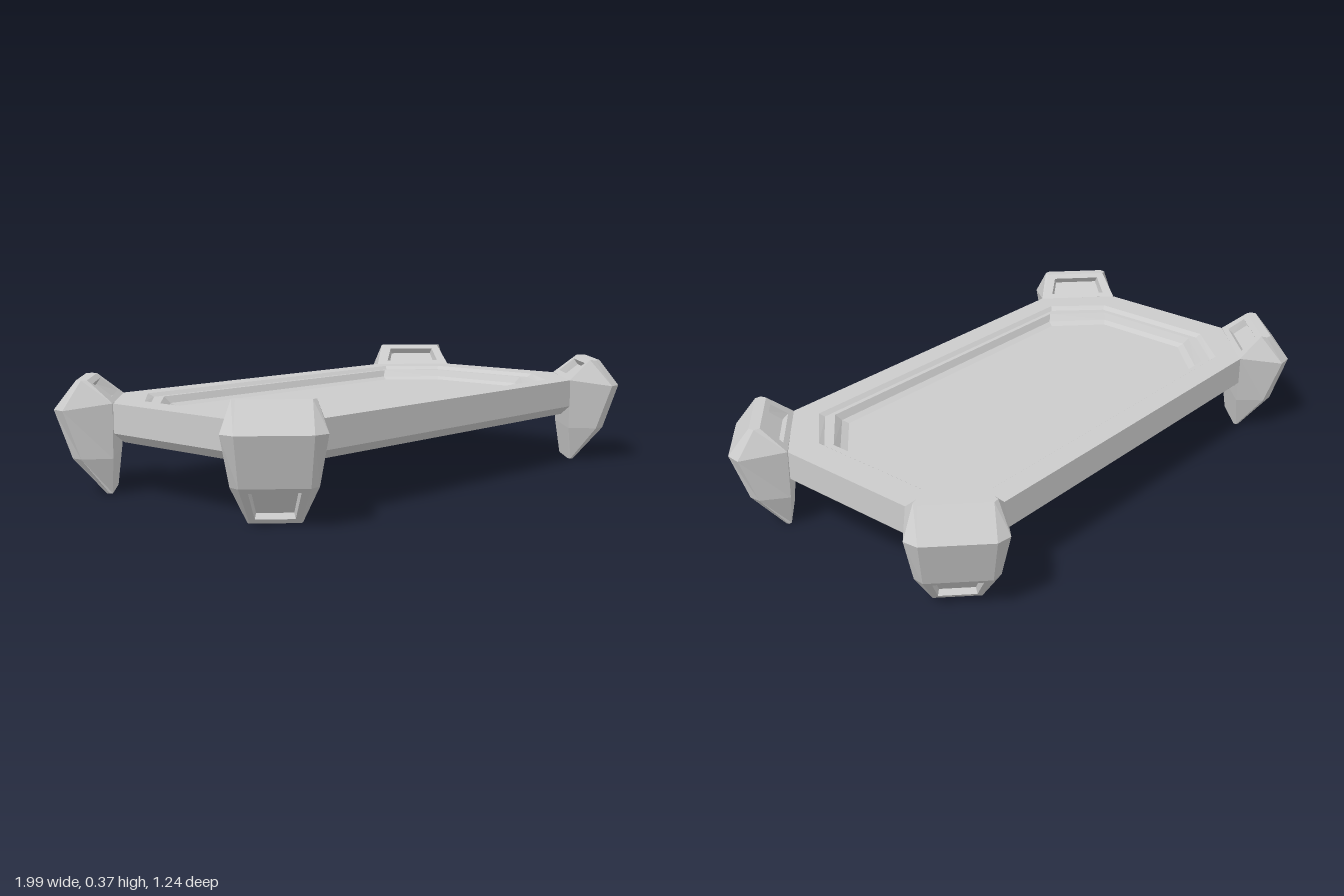
import * as THREE from 'three';

const material = new THREE.MeshStandardMaterial({ color: 0xcccccc, flatShading: true });

// Collects flat polygons (corner lists, counter-clockwise from outside) into one mesh
function facetedMesh(name, faces) {
  const positions = [];
  for (const f of faces)
    for (let i = 1; i < f.length - 1; i++)
      for (const p of [f[0], f[i], f[i + 1]]) positions.push(p.x, p.y, p.z);
  const geometry = new THREE.BufferGeometry();
  geometry.setAttribute('position', new THREE.Float32BufferAttribute(positions, 3));
  geometry.computeVertexNormals();
  const mesh = new THREE.Mesh(geometry, material);
  mesh.name = name;
  return mesh;
}

// Joins stacked rings of equal size and caps both ends; edit may replace a side face
function loft(rings, edit = (face) => [face]) {
  const faces = [rings[0].slice(), rings.at(-1).slice().reverse()];
  for (let r = 0; r < rings.length - 1; r++) {
    const a = rings[r], b = rings[r + 1];
    a.forEach((p, i) => {
      const j = (i + 1) % a.length;
      faces.push(...edit([p, b[i], b[j], a[j]], r, i));
    });
  }
  return faces;
}

// Turns a four-sided face into a frame around a sunken panel
function sunkenPanel(quad, marginU, marginV, depth) {
  const [a, b, c, d] = quad;
  const at = (u, v) => a.clone().lerp(d, u).lerp(b.clone().lerp(c, u), v);
  const inset = (mu, mv) => [at(mu, mv), at(mu, 1 - mv), at(1 - mu, 1 - mv), at(1 - mu, mv)];
  const normal = c.clone().sub(a).cross(d.clone().sub(b)).normalize();
  const opening = inset(marginU, marginV);
  const floor = inset(marginU + 0.03, marginV + 0.03).map((p) => p.addScaledVector(normal, -depth));
  const faces = [floor];
  for (let i = 0; i < 4; i++) {
    const j = (i + 1) % 4;
    faces.push([quad[i], quad[j], opening[j], opening[i]], [opening[i], opening[j], floor[j], floor[i]]);
  }
  return faces;
}

// Rectangle with cut corners: half sizes hx, hz and straight half lengths cx, cz
const octagon = (y, hx, hz, cx, cz) =>
  [[hx, -cz], [hx, cz], [cx, hz], [-cx, hz], [-hx, cz], [-hx, -cz], [-cx, -hz], [cx, -hz]]
    .map(([x, z]) => new THREE.Vector3(x, y, z));

// Six-sided leg section, outward along +x: [distance, half width] of inner, side and outer corners
function legSection(y, inner, side, outer, innerY = y) {
  const point = ([x, w], sign, h = y) => new THREE.Vector3(x, h, sign * w);
  return [point(outer, -1), point(outer, 1), point(side, 1),
    point(inner, 1, innerY), point(inner, -1, innerY), point(side, -1)];
}

export function createModel() {
  const model = new THREE.Group();
  model.name = 'tray';

  // Tray body: bevelled underside, flat rim, stepped recess
  model.add(facetedMesh('trayBody', loft([
    octagon(0.175, 0.825, 0.43, 0.645, 0.245),
    octagon(0.205, 0.857, 0.461, 0.655, 0.255),
    octagon(0.30, 0.857, 0.461, 0.655, 0.255),
    octagon(0.30, 0.755, 0.382, 0.614, 0.225),
    octagon(0.288, 0.74, 0.368, 0.6, 0.218),
    octagon(0.288, 0.718, 0.352, 0.57, 0.198),
    octagon(0.265, 0.705, 0.34, 0.552, 0.184),
    octagon(0.255, 0.685, 0.32, 0.54, 0.172),
  ])));

  // Corner legs: a window in the slanted foot and a pocket in the slope facing the tray
  const sections = [
    legSection(0, [0.016, 0.072], [0.024, 0.08], [0.034, 0.074]),
    legSection(0.12, [0.006, 0.115], [0.105, 0.127], [0.135, 0.102]),
    legSection(0.278, [0, 0.144], [0.155, 0.152], [0.188, 0.112], 0.30),
    legSection(0.37, [0.082, 0.11], [0.1, 0.12], [0.117, 0.108]),
  ];
  const legFaces = loft(sections, (face, ring, side) => {
    if (ring === 0 && side === 0) return sunkenPanel(face, 0.12, 0.12, 0.02);
    if (ring === 2 && side === 3) return sunkenPanel(face, 0.13, 0.18, 0.025);
    return [face];
  });
  for (const sx of [1, -1])
    for (const sz of [1, -1]) {
      const leg = facetedMesh(`${sz > 0 ? 'front' : 'back'}${sx > 0 ? 'Left' : 'Right'}Leg`, legFaces);
      leg.position.set(sx * 0.756, 0, sz * 0.358);
      leg.rotation.y = Math.atan2(-sz, sx);
      model.add(leg);
    }

  // The whole tray sits slightly turned
  model.rotation.y = 0.061;
  const root = new THREE.Group();
  root.name = 'turnedTray';
  root.add(model);
  return root;
}
